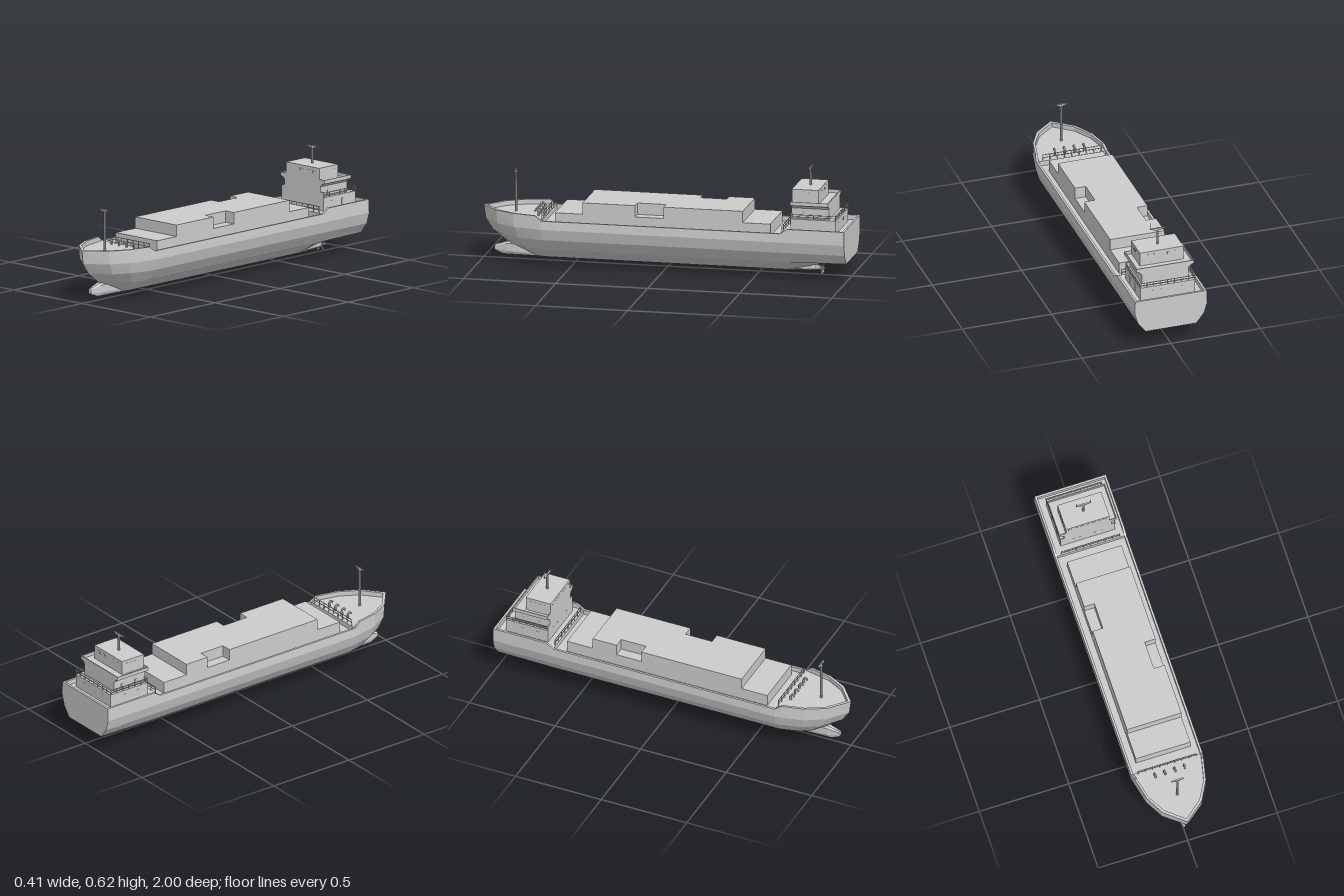
import * as THREE from 'three';

const mat = new THREE.MeshStandardMaterial({ color: 0xcccccc, flatShading: true, side: THREE.DoubleSide });

function add(parent, name, geo, x = 0, y = 0, z = 0) {
  const m = new THREE.Mesh(geo, mat);
  m.name = name;
  m.position.set(x, y, z);
  parent.add(m);
  return m;
}

// box given by its limits
const block = (p, name, x0, x1, y0, y1, z0, z1) =>
  add(p, name, new THREE.BoxGeometry(x1 - x0, y1 - y0, z1 - z0), (x0 + x1) / 2, (y0 + y1) / 2, (z0 + z1) / 2);

// skin half-sections (right side, listed upward), mirrored across x, stations in order of +z
function loft(stations) {
  const pos = [];
  const quad = (a, b, c, d) => pos.push(...a, ...b, ...c, ...a, ...c, ...d);
  const mirror = ([x, y, z]) => [-x, y, z];
  const loops = stations.map(s => [...s, ...s.map(mirror).reverse()]);
  for (let s = 0; s < loops.length - 1; s++) {
    const A = loops[s], B = loops[s + 1], n = A.length;
    for (let i = 0; i < n; i++) quad(A[i], A[(i + 1) % n], B[(i + 1) % n], B[i]);
  }
  const first = stations[0], last = stations[stations.length - 1];
  for (let i = 0; i < first.length - 1; i++) {
    quad(first[i], mirror(first[i]), mirror(first[i + 1]), first[i + 1]);
    quad(last[i], last[i + 1], mirror(last[i + 1]), mirror(last[i]));
  }
  const g = new THREE.BufferGeometry();
  g.setAttribute('position', new THREE.Float32BufferAttribute(pos, 3));
  g.computeVertexNormals();
  return g;
}

// rail with posts from a to b on a level deck
function railing(parent, name, a, b, y, h) {
  const g = new THREE.Group();
  g.name = name;
  parent.add(g);
  const [ax, az] = a, [bx, bz] = b;
  const len = Math.hypot(bx - ax, bz - az), n = Math.max(2, Math.round(len / 0.04));
  const t = 0.003;
  for (const f of [0.55, 1]) {
    const r = add(g, 'rail', new THREE.BoxGeometry(len, t, t), (ax + bx) / 2, y + h * f - t / 2, (az + bz) / 2);
    r.rotation.y = -Math.atan2(bz - az, bx - ax);
  }
  for (let i = 0; i <= n; i++) {
    const k = i / n;
    add(g, 'railPost', new THREE.BoxGeometry(t, h, t), ax + (bx - ax) * k, y + h / 2, az + (bz - az) * k);
  }
}

// pole with a tapered crossbar
function mast(parent, name, z, y0, y1, r, half, barY) {
  const g = new THREE.Group();
  g.name = name;
  g.position.z = z;
  parent.add(g);
  add(g, 'pole', new THREE.CylinderGeometry(r * 0.9, r, y1 - y0, 8), 0, (y0 + y1) / 2, 0);
  const s = new THREE.Shape([[-half, 0], [-half, -0.003], [-0.01, -0.012], [0.01, -0.012], [half, -0.003], [half, 0]]
    .map(p => new THREE.Vector2(...p)));
  add(g, 'crossbar', new THREE.ExtrudeGeometry(s, { depth: 0.008, bevelEnabled: false }), 0, barY, -0.004);
  return g;
}

function buildHull(ship) {
  const levels = [0.025, 0.095, 0.155, 0.215];
  const widths = [0.025, 0.142, 0.185, 0.203, 0.2];
  const tips = [0.72, 0.87, 0.95, 0.99, 1.0];
  const starts = [0.645, 0.65, 0.65, 0.65, 0.65];
  const finish = (outer, deck, back) => {
    const [x, y, z] = outer[4], inX = Math.max(0, x - 0.012);
    return [...outer, [inX, y, z - back], [inX, deck, z - back]];
  };
  const section = (z, top, deck, keel = 0.025) =>
    finish(widths.map((w, i) => [w, i < 4 ? Math.max(levels[i], keel) : top, z]), deck, 0);
  // each level closes to the stem along the same curve
  const bow = (wf, zf, back) => finish(widths.map((w, i) =>
    [w * wf, i < 4 ? levels[i] : 0.288, starts[i] + (tips[i] - starts[i]) * zf]), 0.262, back);
  add(ship, 'hull', loft([
    section(-1, 0.288, 0.262, 0.1),
    section(-0.69, 0.288, 0.262, 0.034),
    section(-0.65, 0.262, 0.262),
    section(-0.65, 0.262, 0.235),
    section(0.645, 0.262, 0.235),
    section(0.645, 0.262, 0.262),
    bow(0.965, 0.09, 0),
    bow(0.83, 0.44, 0.004),
    bow(0.55, 0.74, 0.01),
    bow(0, 1, 0.02),
  ]));
  block(ship, 'sternBulwark', -0.19, 0.19, 0.26, 0.288, -1, -0.988);

  // bulb under the stem and the tapered skeg ahead of the propeller
  add(ship, 'bulbousBow', loft([
    [[0.02, 0.026, 0.64], [0.024, 0.04, 0.64], [0.024, 0.085, 0.64], [0.012, 0.09, 0.64]],
    [[0.012, 0.026, 0.89], [0.022, 0.045, 0.87], [0.022, 0.085, 0.87], [0.012, 0.095, 0.87]],
    [[0.005, 0.042, 0.935], [0.008, 0.05, 0.94], [0.008, 0.065, 0.94], [0.005, 0.075, 0.935]],
  ]));
  add(ship, 'skeg', loft([
    [[0.006, 0.026, -0.835], [0.011, 0.033, -0.835], [0.011, 0.043, -0.835], [0.006, 0.05, -0.835]],
    [[0.024, 0.025, -0.64], [0.025, 0.03, -0.64], [0.025, 0.06, -0.64], [0.02, 0.07, -0.64]],
  ]));

  const prop = new THREE.Group();
  prop.name = 'propeller';
  prop.position.set(0, 0.038, -0.842);
  ship.add(prop);
  add(prop, 'hub', new THREE.CylinderGeometry(0.006, 0.009, 0.02, 8)).rotation.x = -Math.PI / 2;
  const blade = new THREE.Shape([[-0.003, 0], [-0.009, 0.024], [-0.006, 0.037], [0.004, 0.041], [0.009, 0.03], [0.003, 0]]
    .map(p => new THREE.Vector2(...p)));
  const bladeGeo = new THREE.ExtrudeGeometry(blade, { depth: 0.003, bevelEnabled: false }).rotateY(0.35);
  for (let i = 0; i < 5; i++) add(prop, 'blade', bladeGeo).rotation.z = i * Math.PI * 0.4;
}

function buildCargo(ship) {
  block(ship, 'lowerHold', -0.152, 0.152, 0.23, 0.3, -0.59, 0.58);
  // upper block in plan (x, z) with a notch on each side
  const s = new THREE.Shape([
    [-0.152, -0.44], [0.152, -0.44], [0.152, -0.01], [0.092, -0.01], [0.092, 0.145], [0.152, 0.145], [0.152, 0.43],
    [-0.152, 0.43], [-0.152, -0.155], [-0.095, -0.155], [-0.095, -0.3], [-0.152, -0.3],
  ].map(([x, z]) => new THREE.Vector2(x, -z)));
  add(ship, 'upperHold', new THREE.ExtrudeGeometry(s, { depth: 0.062, bevelEnabled: false }).rotateX(-Math.PI / 2), 0, 0.3, 0);
}

function buildHouse(ship) {
  const house = new THREE.Group();
  house.name = 'deckhouse';
  ship.add(house);
  block(house, 'lowerTier', -0.153, 0.153, 0.26, 0.335, -0.945, -0.7);
  block(house, 'middleTier', -0.131, 0.131, 0.335, 0.41, -0.905, -0.7);
  block(house, 'frontScreen', -0.153, 0.153, 0.335, 0.362, -0.706, -0.7);
  block(house, 'wheelhouse', -0.122, 0.122, 0.41, 0.49, -0.845, -0.7);

  // flared bridge wings with a low wall round the deck
  const flare = new THREE.Shape([[-0.131, 0.391], [0.131, 0.391], [0.143, 0.405], [0.161, 0.412],
    [-0.161, 0.412], [-0.143, 0.405]].map(p => new THREE.Vector2(...p)));
  add(house, 'bridgeDeck', new THREE.ExtrudeGeometry(flare, { depth: 0.205, bevelEnabled: false }), 0, 0, -0.905);
  for (const s of [-1, 1]) {
    block(house, 'wingWall', s * 0.1585 - 0.0025, s * 0.1585 + 0.0025, 0.41, 0.43, -0.905, -0.7);
    block(house, 'wingFrontWall', s * 0.14 - 0.02, s * 0.14 + 0.02, 0.41, 0.43, -0.705, -0.7);
    railing(house, 'sideRailing', [s * 0.154, -0.945], [s * 0.154, -0.705], 0.335, 0.026);
    // side windows and doors
    for (let i = 0; i < 4; i++) add(house, 'sideWindow', new THREE.BoxGeometry(0.002, 0.014, 0.016), s * 0.122, 0.466, -0.735 - i * 0.027);
    for (const z of [-0.76, -0.85]) {
      add(house, 'sideDoor', new THREE.BoxGeometry(0.002, 0.035, 0.02), s * 0.153, 0.295, z);
      add(house, 'sideDoor', new THREE.BoxGeometry(0.002, 0.03, 0.018), s * 0.131, 0.352, z);
    }
  }
  block(house, 'wingBackWall', -0.161, 0.161, 0.41, 0.43, -0.905, -0.9);
  railing(house, 'sternRailing', [-0.154, -0.943], [0.154, -0.943], 0.335, 0.026);

  // front and back windows
  for (let i = 0; i < 7; i++) add(house, 'bridgeWindow', new THREE.BoxGeometry(0.022, 0.014, 0.002), (i - 3) * 0.032, 0.466, -0.7);
  for (const x of [-0.08, -0.04, 0.04, 0.08]) {
    add(house, 'backWindow', new THREE.BoxGeometry(0.018, 0.014, 0.002), x, 0.466, -0.845);
    add(house, 'backWindow', new THREE.BoxGeometry(0.014, 0.014, 0.002), x, 0.305, -0.945);
    add(house, 'frontWindow', new THREE.BoxGeometry(0.014, 0.012, 0.002), x, 0.31, -0.7);
  }

  const main = mast(house, 'mainMast', -0.775, 0.49, 0.588, 0.007, 0.043, 0.585);
  for (const s of [-1, 1]) add(main, 'antenna', new THREE.CylinderGeometry(0.0012, 0.0012, 0.038, 6), s * 0.039, 0.602, 0);
}

export function createModel() {
  const ship = new THREE.Group();
  ship.name = 'cargoShip';
  buildHull(ship);
  buildCargo(ship);
  buildHouse(ship);
  mast(ship, 'foremast', 0.825, 0.262, 0.488, 0.007, 0.034, 0.485);
  railing(ship, 'foredeckRailing', [-0.163, 0.65], [0.163, 0.65], 0.262, 0.036);
  railing(ship, 'aftDeckRailing', [-0.163, -0.655], [0.163, -0.655], 0.262, 0.036);

  // gooseneck vents on the foredeck
  const bend = new THREE.CatmullRomCurve3([[0.262, 0], [0.284, 0], [0.294, 0.008], [0.292, 0.018], [0.284, 0.02]]
    .map(([y, z]) => new THREE.Vector3(0, y, z)));
  const ventGeo = new THREE.TubeGeometry(bend, 10, 0.006, 6);
  for (const x of [-0.082, -0.028, 0.028, 0.082]) add(ship, 'deckVent', ventGeo, x, 0, 0.685);
  return ship;
}
